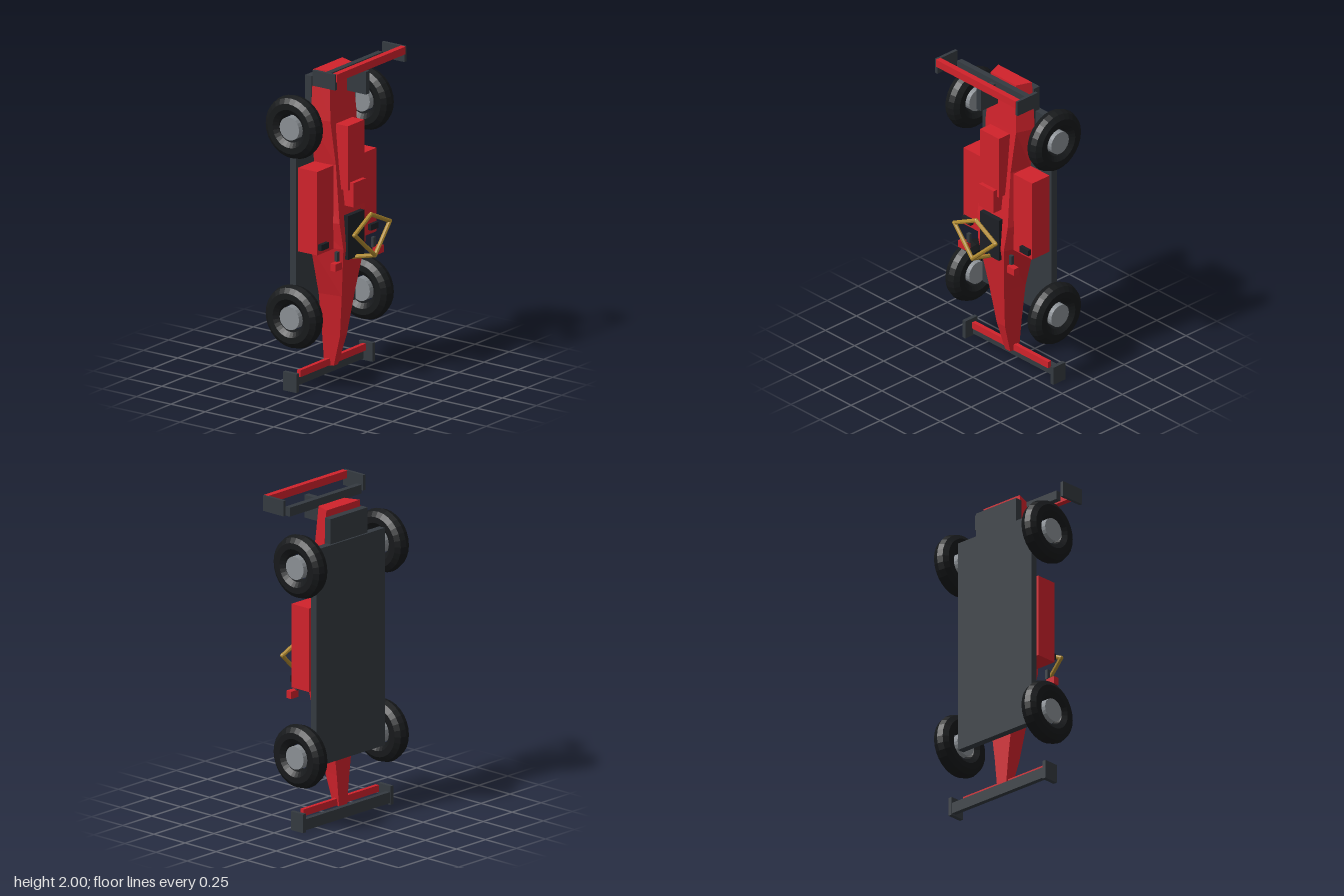
import * as THREE from 'three';

const paint = (color) => new THREE.MeshStandardMaterial({ color, flatShading: true });

export function createModel() {
  const car = new THREE.Group();
  car.name = 'raceCar';
  const red = paint(0xd0222b), dark = paint(0x343a40), black = paint(0x1c1f24);
  const rubber = paint(0x17191b), metal = paint(0x8a8f94), gold = paint(0xb08a30);

  const add = (name, geometry, material) => {
    const mesh = new THREE.Mesh(geometry, material);
    mesh.name = name;
    car.add(mesh);
    return mesh;
  };
  // Box given by its [min, max] on each axis
  const box = (name, material, x, y, z) => {
    const g = new THREE.BoxGeometry(x[1] - x[0], y[1] - y[0], z[1] - z[0]);
    add(name, g, material).position.set((x[0] + x[1]) / 2, (y[0] + y[1]) / 2, (z[0] + z[1]) / 2);
  };
  // The same box on both sides
  const pair = (name, material, x, y, z) => {
    box(name + 'Left', material, x, y, z);
    box(name + 'Right', material, [-x[1], -x[0]], y, z);
  };

  // Body shell: trapezoid sections from nose to tail
  // [y, lower half width, upper half width, underside z, upper z]
  const sections = [
    [0.075, 0.035, 0.022, -0.09, -0.03],
    [0.27, 0.055, 0.035, -0.09, 0.025],
    [0.53, 0.09, 0.065, -0.09, 0.06],
    [0.84, 0.17, 0.11, -0.09, 0.105],
    [1.0, 0.175, 0.13, -0.09, 0.092],
    [1.35, 0.135, 0.11, -0.09, 0.05],
    [1.62, 0.17, 0.13, -0.09, 0.025],
    [1.925, 0.145, 0.11, -0.09, 0.005],
  ];
  const points = [], faces = [];
  sections.forEach(([y, b, t, z0, z1], i) => {
    points.push(b, y, z0, t, y, z1, -t, y, z1, -b, y, z0);
    if (i === sections.length - 1) return;
    for (let j = 0; j < 4; j++) {
      const a = i * 4 + j, n = i * 4 + (j + 1) % 4;
      faces.push(a, a + 4, n + 4, a, n + 4, n);
    }
  });
  const e = (sections.length - 1) * 4;
  faces.push(0, 1, 2, 0, 2, 3, e, e + 2, e + 1, e, e + 3, e + 2);
  const shell = new THREE.BufferGeometry();
  shell.setAttribute('position', new THREE.Float32BufferAttribute(points, 3));
  shell.setIndex(faces);
  const flatShell = shell.toNonIndexed();
  flatShell.computeVertexNormals();
  add('bodyShell', flatShell, red);

  // Floor, diffuser and side pods
  box('floor', dark, [-0.295, 0.295], [0.39, 1.73], [-0.15, -0.105]);
  box('diffuser', dark, [-0.16, 0.16], [1.62, 1.885], [-0.138, -0.092]);
  pair('sidePod', red, [0.135, 0.295], [0.84, 1.355], [-0.09, 0.05]);
  pair('sideIntake', black, [0.21, 0.285], [0.868, 0.905], [0.03, 0.073]);

  // Engine cover, air box and cockpit
  box('engineCover', red, [-0.082, 0.082], [1.197, 1.595], [0.03, 0.117]);
  box('airBox', red, [-0.063, 0.063], [1.095, 1.243], [0.04, 0.143]);
  box('cockpit', black, [-0.082, 0.082], [0.77, 1.04], [0.04, 0.118]);

  // Mirrors
  pair('mirror', red, [0.177, 0.24], [0.742, 0.787], [0.105, 0.143]);
  pair('mirrorStalk', dark, [0.17, 0.192], [0.785, 0.845], [0.1, 0.12]);

  // Front wing
  box('frontWing', dark, [-0.367, 0.367], [0.01, 0.078], [-0.125, -0.095]);
  box('frontWingFlap', red, [-0.325, 0.325], [0.078, 0.12], [-0.075, -0.05]);
  pair('frontEndPlate', dark, [0.365, 0.39], [0, 0.115], [-0.13, -0.032]);

  // Rear wing
  box('rearWing', dark, [-0.31, 0.31], [1.895, 1.95], [0.05, 0.086]);
  box('rearWingFlap', red, [-0.342, 0.342], [1.953, 2], [0.192, 0.228]);
  pair('rearEndPlate', dark, [0.335, 0.355], [1.905, 2], [0.06, 0.223]);
  box('rearWingPillar', dark, [-0.018, 0.018], [1.79, 1.93], [0.065, 0.203]);

  // Wheels
  const tyre = new THREE.TorusGeometry(0.1355, 0.0595, 10, 28).rotateY(Math.PI / 2);
  const hub = new THREE.CylinderGeometry(0.071, 0.071, 0.1, 20).rotateZ(Math.PI / 2);
  for (const [end, y] of [['front', 0.455], ['rear', 1.625]]) {
    for (const [side, x] of [['Left', 0.352], ['Right', -0.352]]) {
      add(end + 'Tyre' + side, tyre, rubber).position.set(x, y, -0.075);
      add(end + 'Hub' + side, hub, metal).position.set(x, y, -0.075);
    }
  }

  // Cockpit guard: four-cornered hoop on a single strut
  const bar = (name, a, b) => {
    const d = b.clone().sub(a);
    const m = add(name, new THREE.CylinderGeometry(0.013, 0.013, d.length(), 8), gold);
    m.position.copy(a).addScaledVector(d, 0.5);
    m.quaternion.setFromUnitVectors(new THREE.Vector3(0, 1, 0), d.normalize());
  };
  const corners = [[0, 0.805, 0.255], [0.176, 0.968, 0.234], [0, 1.052, 0.225], [-0.176, 0.968, 0.234]]
    .map((c) => new THREE.Vector3(...c));
  corners.forEach((c, i) => {
    bar('guardHoop', c, corners[(i + 1) % 4]);
    add('guardJoint', new THREE.SphereGeometry(0.0135, 8, 6), gold).position.copy(c);
  });
  bar('guardStrut', corners[0], new THREE.Vector3(0, 0.765, 0.09));

  return car;
}
